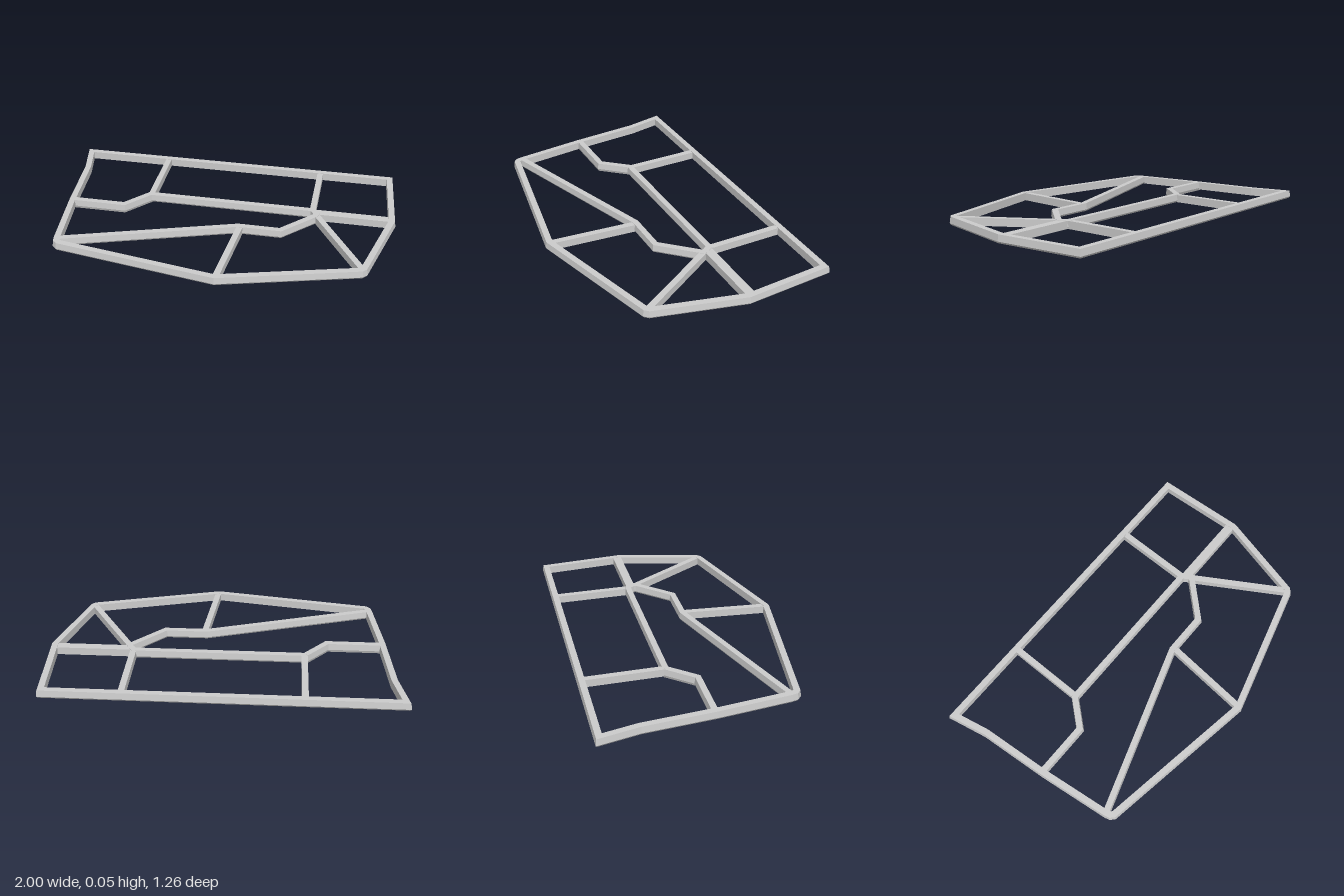
import * as THREE from 'three';

const TOP = 0.052, MID = 0.016, LOW = 0.006;

// Cross-sections as [sideways, y], counter-clockwise
const rimSection = [[-0.015, LOW], [0.018, LOW], [0.018, TOP], [-0.017, TOP], [-0.022, MID]];
const railSection = (low) => [[-0.015, low], [0.015, low], [0.021, MID], [0.017, TOP], [-0.017, TOP], [-0.021, MID]];
const strutSection = (half) => [[-half, LOW], [half, LOW], [half, TOP - 0.002], [-half, TOP - 0.002]];

// Sweeps a section along a flat [x, z] path with mitred corners
function sweep(path, section, closed = false) {
  const n = path.length, last = n - 1;
  const normal = (i, j) => {
    const dx = path[j][0] - path[i][0], dz = path[j][1] - path[i][1];
    return new THREE.Vector2(-dz, dx).normalize();
  };
  const rings = path.map(([x, z], i) => {
    const prev = (i + n - 1) % n, next = (i + 1) % n;
    const a = !closed && i === 0 ? normal(i, next) : normal(prev, i);
    const b = !closed && i === last ? a : normal(i, next);
    const m = a.clone().add(b).divideScalar(1 + a.dot(b));
    return section.map(([o, y]) => [x + m.x * o, y, z + m.y * o]);
  });
  const pos = [];
  const tri = (...corners) => corners.forEach((c) => pos.push(...c));
  const count = section.length;
  for (let i = 0; i < (closed ? n : last); i++) {
    const a = rings[i], b = rings[(i + 1) % n];
    for (let k = 0; k < count; k++) {
      const k1 = (k + 1) % count;
      tri(a[k], b[k], b[k1]);
      tri(a[k], b[k1], a[k1]);
    }
  }
  if (!closed) {
    for (let k = 1; k < count - 1; k++) {
      tri(rings[0][0], rings[0][k], rings[0][k + 1]);
      tri(rings[last][0], rings[last][k + 1], rings[last][k]);
    }
  }
  const geometry = new THREE.BufferGeometry();
  geometry.setAttribute('position', new THREE.Float32BufferAttribute(pos, 3));
  geometry.computeVertexNormals();
  return geometry;
}

export function createModel() {
  const group = new THREE.Group();
  const material = new THREE.MeshStandardMaterial({ color: 0xcccccc, flatShading: true });
  const add = (name, path, section, closed) => {
    const mesh = new THREE.Mesh(sweep(path, section, closed), material);
    mesh.name = name;
    group.add(mesh);
  };

  // Outer rim, with small cut corners at the front
  add('outerRim', [
    [0.943, -0.61], [0.975, -0.12], [0.847, 0.38], [0.832, 0.396], [0.078, 0.603],
    [-0.835, 0.45], [-0.851, 0.435], [-0.857, 0.41], [-0.905, 0], [-0.937, -0.4], [-0.98, -0.61],
  ], rimSection, true);

  // Bent rails crossing the frame
  add('sideRail', [[-0.905, -0.01], [-0.587, -0.01], [-0.462, -0.155]], railSection(0));
  add('centreRail', [[-0.465, -0.155], [0.515, -0.155], [0.543, -0.11]], railSection(LOW));
  add('frontRail', [[-0.85, 0.408], [0.115, 0.093], [0.358, 0.093], [0.535, -0.095], [0.543, -0.12]], railSection(LOW));

  // Straight struts
  add('backStrutRight', [[-0.457, -0.6], [-0.457, -0.155]], strutSection(0.0175));
  add('backStrutLeft', [[0.515, -0.6], [0.515, -0.155]], strutSection(0.0175));
  add('sideStrut', [[0.525, -0.136], [0.972, -0.136]], strutSection(0.026));
  add('diagonalStrut', [[0.54, -0.11], [0.838, 0.385]], strutSection(0.0175));
  add('frontStrut', [[0.127, 0.095], [0.083, 0.6]], strutSection(0.0175));

  return group;
}
